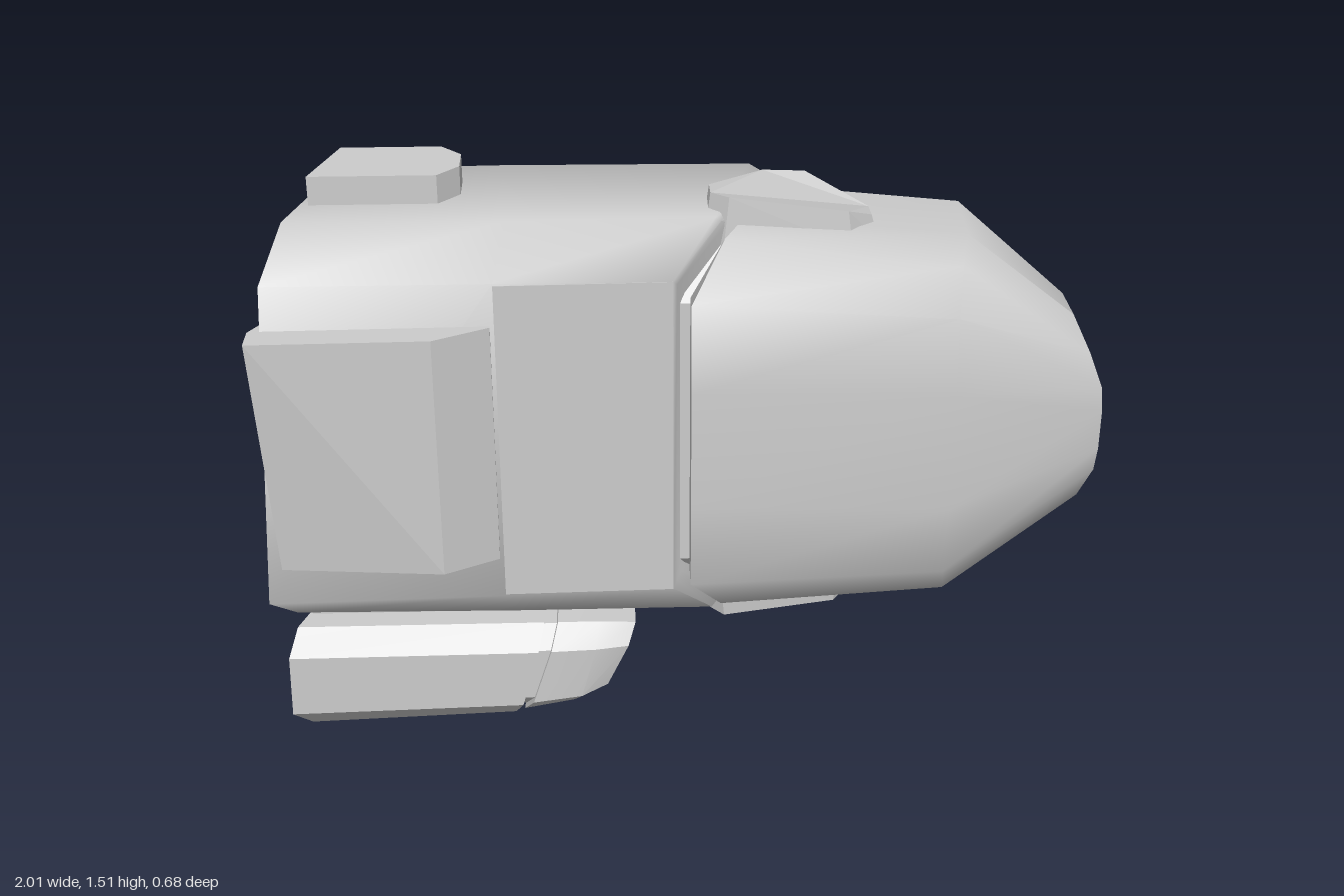
import * as THREE from 'three';
import { toCreasedNormals } from 'three/addons/utils/BufferGeometryUtils.js';

const MID = 0.925; // height of the hull's mirror plane
const grey = new THREE.MeshStandardMaterial({ color: 0xcccccc });
const grey2 = new THREE.MeshStandardMaterial({ color: 0xcccccc, side: THREE.DoubleSide });

// Half section of [x, z, half height], run front to back, mirrored into a full ring
function ring(half, tilt = 0) {
  const up = half.map(([x, z, h]) => [x + tilt, MID + h, z]);
  const down = half.map(([x, z, h]) => [x - tilt, MID - h, z]).reverse();
  return [...up, ...down];
}

function build(tris, crease) {
  const g = new THREE.BufferGeometry();
  g.setAttribute('position', new THREE.Float32BufferAttribute(tris.flat(), 3));
  return toCreasedNormals(g, crease);
}

const quad = (t, a, b, c, d) => t.push(a, b, c, a, c, d);

// Skin a row of rings, closing both ends; skip(i, j) leaves openings
function loft(rings, crease = 0.6, skip = () => false) {
  const t = [], n = rings[0].length;
  for (let i = 0; i < rings.length - 1; i++) {
    for (let j = 0; j < n; j++) {
      if (skip(i, j)) continue;
      const k = (j + 1) % n, A = rings[i], B = rings[i + 1];
      quad(t, A[j], B[j], B[k], A[k]);
    }
  }
  [rings[0], rings[rings.length - 1]].forEach((r, end) => {
    const c = [0, 1, 2].map(a => r.reduce((s, p) => s + p[a], 0) / n);
    for (let j = 0; j < n; j++) {
      const k = (j + 1) % n;
      t.push(c, end ? r[k] : r[j], end ? r[j] : r[k]);
    }
  });
  return build(t, crease);
}

// Upright prism from an [x, z] outline
function slab(outline, y0, y1) {
  const s = new THREE.Shape(outline.map(p => new THREE.Vector2(...p)));
  return new THREE.ExtrudeGeometry(s, { depth: y1 - y0, bevelEnabled: false })
    .rotateX(Math.PI / 2).translate(0, y1, 0);
}

// Ring shrunk in height and z, and shifted along x, for the seam core
const inset = (r, s, dx) => r.map(([x, y, z]) =>
  [x + dx, MID + (y - MID) * s, 0.03 + (z - 0.03) * s]);

// Octagonal pod section: s = scale, x runs from xB at y = 0 to xT at the top,
// lift raises the belly, skew slants the section across z
function podRing(s, xT, xB, lift, skew = 0) {
  const pts = [[0.19, 0.1], [0.19, 0.27], [0.135, 0.33], [-0.135, 0.33],
    [-0.19, 0.27], [-0.19, 0.1], [-0.09, 0.005], [0.09, 0.005]];
  return pts.map(([z, y]) => {
    const raised = lift + y * (0.33 - lift) / 0.33;
    const yy = 0.21 + (raised - 0.21) * s;
    return [xB + (xT - xB) * yy / 0.33 + skew * (0.19 - z), yy, -0.035 + z * s];
  });
}

export function createModel() {
  const group = new THREE.Group();
  const add = (name, geo, mat = grey) => {
    const m = new THREE.Mesh(geo, mat);
    m.name = name;
    group.add(m);
    return m;
  };

  // Main body, with an opening left in its back
  const shoulder = [[-0.02, 0.245, 0.41], [0.08, 0.15, 0.525], [0.18, -0.2, 0.525],
    [0.18, -0.275, 0.42], [0.18, -0.28, 0.175]];
  const lip = [[0, 0.21, 0.38], [0.11, 0.12, 0.5], [0.265, -0.16, 0.485],
    [0.29, -0.21, 0.39], [0.29, -0.22, 0.14]];
  const chamfer = shoulder.map((p, i) => p.map((v, a) => (v + lip[i][a]) / 2));
  chamfer[4] = [0.235, -0.25, 0.1];
  const body = [
    ring([[-0.98, 0.265, 0.42], [-0.935, 0.14, 0.525], [-0.84, -0.2, 0.525],
      [-0.785, -0.33, 0.42], [-0.78, -0.34, 0.175]], 0.025),
    ring([[-0.43, 0.255, 0.415], [-0.4, 0.15, 0.525], [-0.42, -0.21, 0.525],
      [-0.42, -0.31, 0.42], [-0.42, -0.318, 0.175]]),
    ring(shoulder), ring(chamfer), ring(lip),
  ];
  add('mainBody', loft(body, 1.25, (i, j) => j === 4 && (i === 1 || i === 2)));
  add('frontPanel', slab([[-0.43, 0.257], [-0.02, 0.247], [-0.02, 0.2], [-0.43, 0.2]],
    MID - 0.41, MID + 0.41));

  // Recess floor and walls
  const [a, b, c] = [body[1], body[2], body[3]];
  const f = [[-0.42, MID + 0.17, -0.255], [-0.42, MID - 0.17, -0.255]];
  const g = [[0.12, MID + 0.17, -0.25], [0.12, MID - 0.17, -0.25]];
  const t = [];
  quad(t, f[0], g[0], g[1], f[1]);
  quad(t, g[0], c[4], c[5], g[1]);
  quad(t, a[4], a[5], f[1], f[0]);
  quad(t, a[4], f[0], g[0], b[4]);
  quad(t, a[5], b[5], g[1], f[1]);
  t.push(b[4], g[0], c[4], b[5], c[5], g[1]);
  add('backRecess', build(t, 0.2), grey2);

  // Tapered nose, its blunt tip closed by a small flat ring
  const nose = [
    ring([[0.02, 0.225, 0.15], [0.02, 0.225, 0.36], [0.12, 0.13, 0.475],
      [0.17, 0.07, 0.48], [0.29, -0.13, 0.46], [0.31, -0.18, 0.37]]),
    ring([[0.02, 0.303, 0.15], [0.02, 0.293, 0.37], [0.1, 0.19, 0.49],
      [0.15, 0.1, 0.505], [0.28, -0.13, 0.49], [0.31, -0.2, 0.39]]),
    ring([[0.63, 0.332, 0.15], [0.63, 0.31, 0.335], [0.645, 0.23, 0.43],
      [0.67, 0.12, 0.465], [0.68, -0.1, 0.46], [0.68, -0.165, 0.34]]),
    ring([[1, 0.225, 0.05], [0.995, 0.22, 0.11], [0.965, 0.2, 0.19],
      [0.93, 0.14, 0.265], [0.92, 0.05, 0.28], [0.95, 0.03, 0.14]]),
    ring([[0.99, 0.19, 0.03], [0.988, 0.18, 0.04], [0.983, 0.16, 0.05],
      [0.975, 0.13, 0.06], [0.966, 0.09, 0.06], [0.96, 0.06, 0.04]]),
  ];
  add('nose', loft(nose, 0.75));
  add('seamCore', loft([inset(nose[0], 0.95, -0.06), inset(nose[0], 0.95, 0.01)]));

  // Raised plate on the front, its lower rear corner folded inward
  const plate = slab([[-0.99, 0.337], [-0.57, 0.33], [-0.44, 0.262], [-0.44, 0.2],
    [-0.95, 0.2], [-0.99, 0.27]], 0.62, 1.235);
  const pp = plate.attributes.position;
  for (let i = 0; i < pp.count; i++) {
    if (pp.getY(i) < 0.7 && pp.getX(i) < -0.98) {
      pp.setX(i, -0.96);
      pp.setZ(i, Math.min(pp.getZ(i), 0.295));
    }
  }
  plate.computeVertexNormals();
  add('frontPlate', plate);

  // Top block and lower pylon share an outline, clipped at the slanted rear
  const mount = (back, front) => [[back, -0.155], [-0.56, -0.155], [-0.51, -0.1],
    [-0.51, -0.02], [-0.56, 0.037], [front, 0.037]];
  add('topBlock', slab(mount(-0.8, -0.86), 1.4, 1.52));
  add('podPylon', slab(mount(-0.88, -0.94), 0.28, 0.45));

  // Bevelled blisters over the seam, above and below
  const outline = [[0.055, 0.02], [0.055, 0.09], [0.1, 0.135], [0.4, 0.135],
    [0.465, 0.08], [0.465, 0.01], [0.31, -0.105], [0.2, -0.105]];
  for (const s of [1, -1]) {
    const y = [MID + s * 0.44, MID + s * 0.565].sort((p, q) => p - q);
    const geo = slab(outline, ...y);
    const p = geo.attributes.position;
    for (let i = 0; i < p.count; i++) {
      const x = p.getX(i), z = p.getZ(i);
      if (Math.abs(p.getY(i) - MID) < 0.5) continue;
      const h = 0.565 - Math.max(0, x - 0.3) * 0.38 - (0.13 - z) * 0.07;
      p.setXYZ(i, 0.26 + (x - 0.26) * 0.92, MID + s * h, 0.02 + (z - 0.02) * 0.92);
    }
    geo.computeVertexNormals();
    add(s > 0 ? 'topBlister' : 'bottomBlister', geo);
  }

  // Pod: long barrel with a slanted rear, groove, then a raked muzzle with a sunken mouth
  add('podBarrel', loft([podRing(1, -0.99, -0.998, 0, 0.35),
    podRing(1, -0.345, -0.435, 0.02)], 0.3));
  add('podGroove', loft([podRing(0.92, -0.37, -0.46, 0.025), podRing(0.92, -0.29, -0.4, 0.03)], 0.3));
  add('podMuzzle', loft([podRing(1, -0.31, -0.415, 0.03), podRing(1, -0.2, -0.29, 0.055),
    podRing(0.88, -0.105, -0.26, 0.075), podRing(0.66, -0.105, -0.26, 0.075),
    podRing(0.64, -0.14, -0.295, 0.075)], 0.3));

  // Grille slats following the rake of the mouth
  for (let i = 0; i < 6; i++) {
    const y = 0.145 + i * 0.025;
    const w = Math.min(0.22, 0.15 + i * 0.035, 0.19 + (5 - i) * 0.03);
    const slat = add('grilleSlat', new THREE.BoxGeometry(0.03, 0.015, w));
    slat.position.set(-0.275 + 0.47 * y, y, -0.035);
  }
  return group;
}
